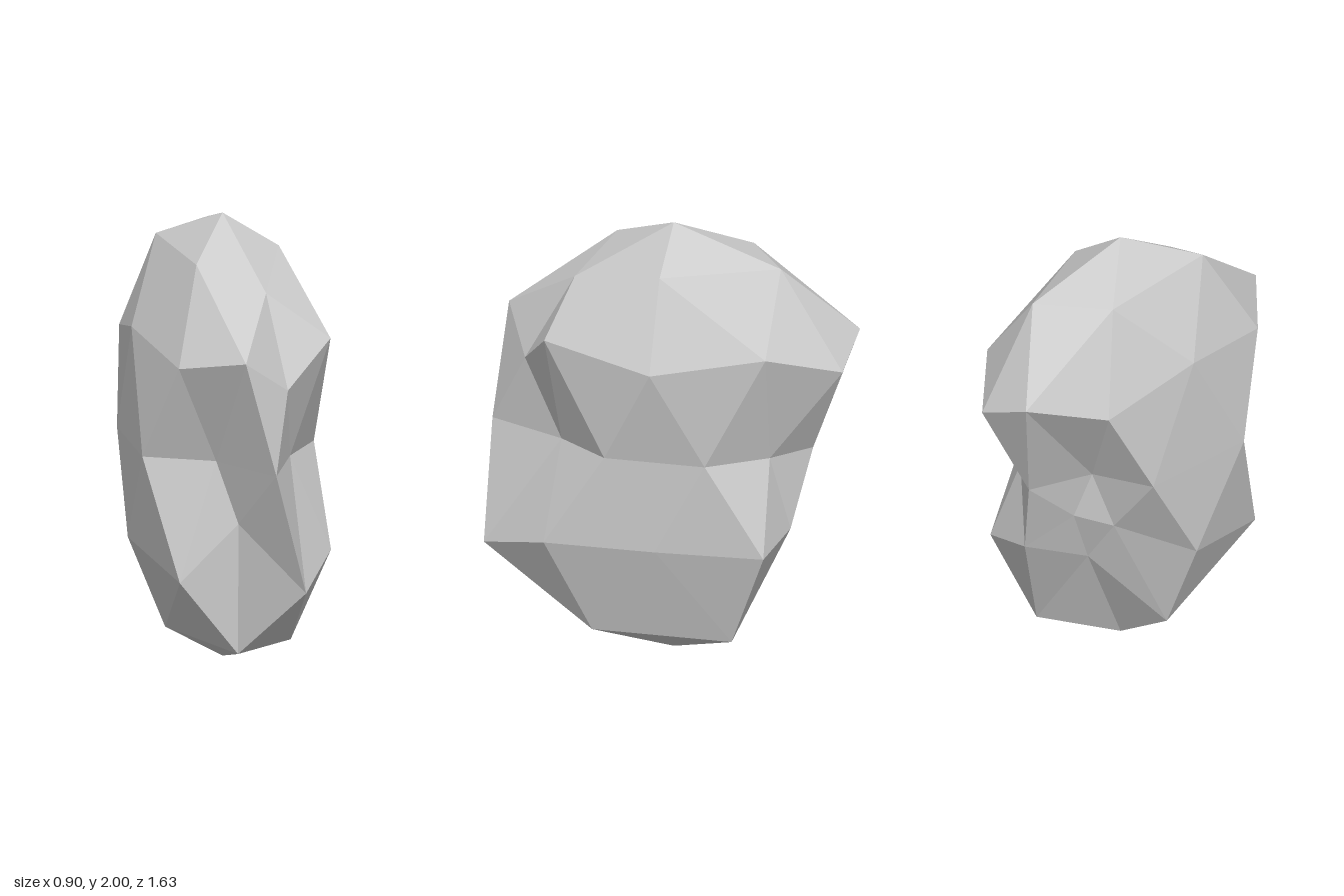
import * as THREE from 'three';
import { ConvexGeometry } from 'three/addons/geometries/ConvexGeometry.js';

// Rings of a subdivided icosahedron: radius, height, first angle (degrees),
// and how far each corner is pushed along its ray (1 = on the ellipsoid).
const RINGS = [
  [0, 1, 0, [1]],
  [0.5257, 0.8507, 0, [0.98, 0.86, 1, 1, 1.01]],
  [0.8507, 0.5257, 36, [1, 0.96, 0.98, 1, 1]],
  [0.8944, 0.4472, 0, [0.99, 0.76, 0.98, 0.91, 0.935]],
  [1, 0, 18, [0.735, 0.575, 0.82, 0.58, 0.96, 0.85, 0.43, 0.63, 0.59, 0.735]],
  [0.8944, -0.4472, 36, [0.955, 0.62, 0.97, 0.47, 0.93]],
  [0.8507, -0.5257, 0, [0.81, 1.02, 1.01, 0.53, 0.68]],
  [0.5257, -0.8507, 36, [1.02, 1.02, 1, 0.56, 1.02]],
  [0, -1, 0, [1]],
];

// Equator angles alternate between 36 degree steps, the other rings use 72
function ringCorners([radius, y, start, pushes]) {
  return pushes.map((push, i) => {
    const a = THREE.MathUtils.degToRad(start + (i * 360) / pushes.length);
    return { dir: new THREE.Vector3(radius * Math.cos(a), y, radius * Math.sin(a)), push };
  });
}

export function createModel() {
  const corners = RINGS.flatMap(ringCorners);

  // Faces come from the round hull, then each corner is pushed in or out
  const geometry = new ConvexGeometry(corners.map((c) => c.dir));
  const pos = geometry.attributes.position;
  const p = new THREE.Vector3();
  for (let i = 0; i < pos.count; i++) {
    p.fromBufferAttribute(pos, i);
    const { dir, push } = corners.reduce((a, b) =>
      a.dir.distanceToSquared(p) < b.dir.distanceToSquared(p) ? a : b);
    pos.setXYZ(i, dir.x * push * 0.5, 1 + dir.y * push, dir.z * push);
  }
  geometry.computeVertexNormals();

  const rock = new THREE.Mesh(
    geometry,
    new THREE.MeshStandardMaterial({ color: 0xcccccc, flatShading: true })
  );
  rock.name = 'rock';

  const group = new THREE.Group();
  group.name = 'boulder';
  group.add(rock);
  return group;
}
